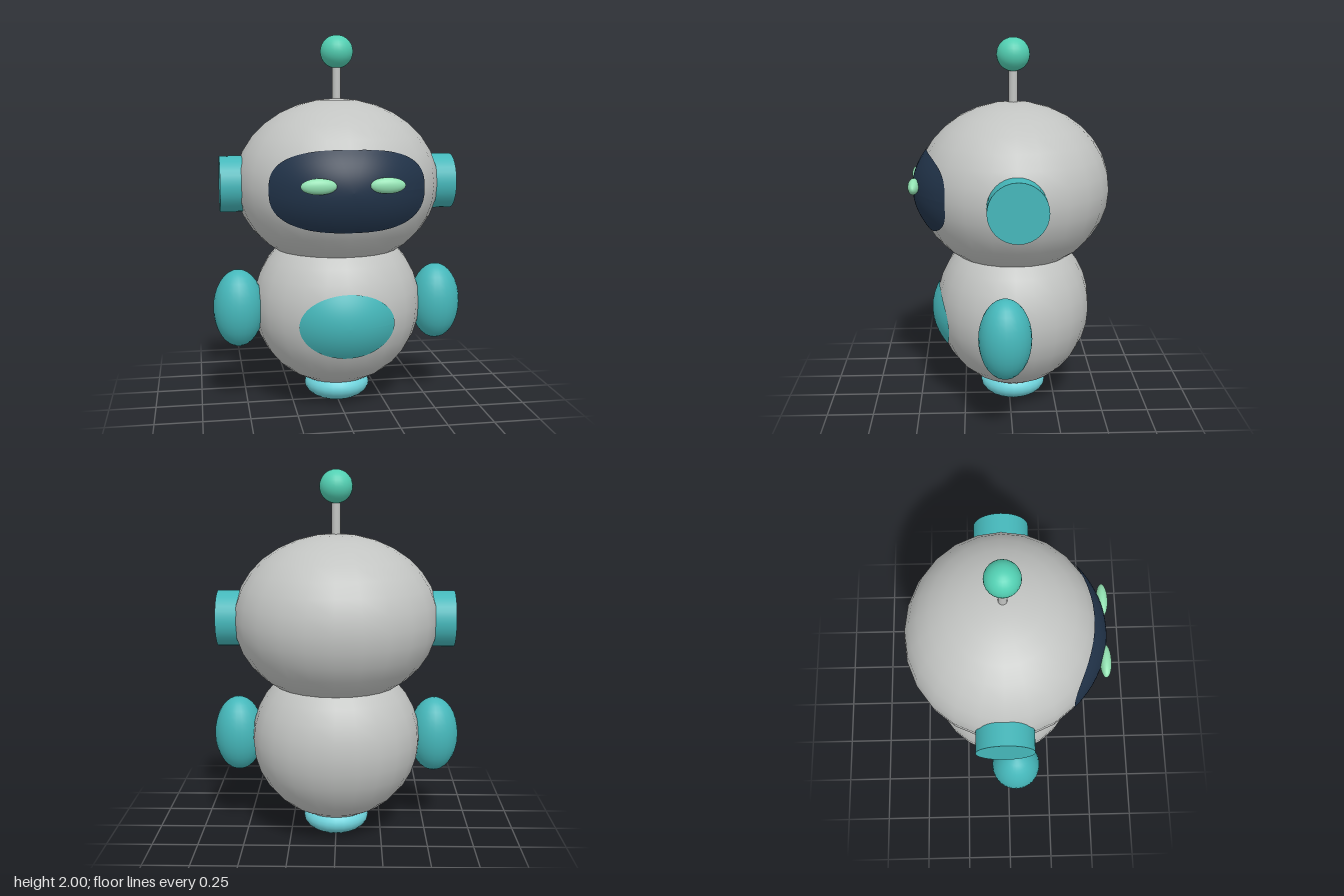
import * as THREE from 'three';

const Z = -0.02; // depth of the central axis
const HEAD = { y: 1.215, r: [0.55, 0.452, 0.515] };
const BODY = { y: 0.55, r: [0.46, 0.45, 0.42] };

function material(name, color) {
  const m = new THREE.MeshStandardMaterial({ color });
  m.name = name;
  return m;
}

export function createModel() {
  const grey = material('light grey', 0xc2c4c2);
  const teal = material('teal', 0x45b7ba);
  const aqua = material('pale aqua', 0x70d5de);
  const navy = material('dark navy', 0x213349);
  const mint = material('mint', 0x93e3b3);
  const green = material('sea green', 0x52cfb2);

  const model = new THREE.Group();
  model.name = 'robot';

  function add(name, geometry, mat, x, y, z) {
    const mesh = new THREE.Mesh(geometry, mat);
    mesh.name = name;
    mesh.position.set(x, y, z);
    model.add(mesh);
    return mesh;
  }

  function ellipsoid(name, mat, [rx, ry, rz], x, y, z, w = 24, h = 16) {
    const g = new THREE.SphereGeometry(1, w, h).scale(rx, ry, rz);
    return add(name, g, mat, x, y, z);
  }

  // Panel hugging the front of an ellipsoid: a superellipse outline with a slight bulge
  function panel(name, mat, host, y, halfW, halfH, power, bulge) {
    const g = new THREE.RingGeometry(0, 1, 64, 10);
    const p = g.attributes.position;
    const [rx, ry, rz] = host.r;
    const soften = (v) => Math.sign(v) * Math.abs(v) ** (2 / power);
    for (let i = 0; i < p.count; i++) {
      const r = Math.hypot(p.getX(i), p.getY(i));
      const a = Math.atan2(p.getY(i), p.getX(i));
      const px = halfW * r * soften(Math.cos(a));
      const py = halfH * r * soften(Math.sin(a)) + y - host.y;
      const depth = rz * Math.sqrt(1 - (px / rx) ** 2 - (py / ry) ** 2);
      p.setXYZ(i, px, py, depth + 0.002 + bulge * (1 - r * r));
    }
    g.computeVertexNormals();
    add(name, g, mat, 0, host.y, Z);
  }

  // Body, belly panel and base
  ellipsoid('body', grey, BODY.r, 0, BODY.y, Z);
  panel('bellyPanel', teal, BODY, 0.507, 0.25, 0.173, 2, 0.026);
  ellipsoid('base', aqua, [0.18, 0.093, 0.18], 0, 0.093, Z);

  // Head and visor
  ellipsoid('head', grey, HEAD.r, 0, HEAD.y, Z);
  panel('visor', navy, HEAD, HEAD.y, 0.4, 0.207, 2.7, 0.022);

  // Antenna
  add('antennaRod', new THREE.CylinderGeometry(0.023, 0.023, 0.27, 16), grey, 0, 1.735, Z);
  ellipsoid('antennaBall', green, [0.088, 0.088, 0.088], 0, 1.912, Z);

  // Paired parts: eyes, ears and arms
  for (const [side, s] of [['left', 1], ['right', -1]]) {
    ellipsoid(side + 'Eye', mint, [0.09, 0.04, 0.03], s * 0.17, 1.25, 0.503);
    const ear = new THREE.CylinderGeometry(0.15, 0.15, 0.155, 32).rotateZ(Math.PI / 2);
    add(side + 'Ear', ear, teal, s * 0.555, HEAD.y, Z);
    ellipsoid(side + 'Arm', teal, [0.135, 0.21, 0.135], s * 0.545, 0.55, 0.04);
  }

  return model;
}
